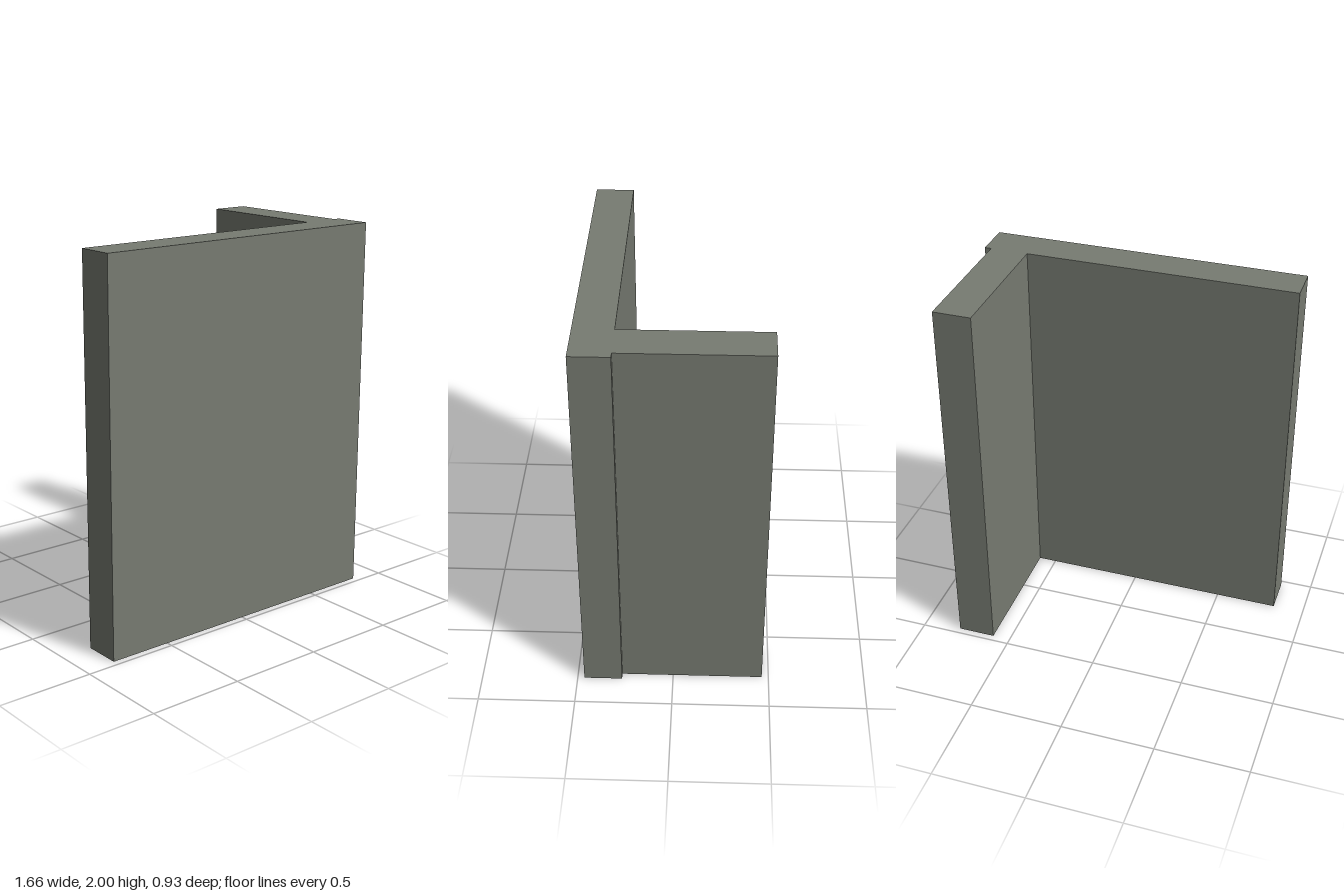
import * as THREE from 'three';

const HEIGHT = 2;

export function createModel() {
  const model = new THREE.Group();
  model.name = 'cornerWall';

  const stone = new THREE.MeshStandardMaterial({ color: 0x777b72 });
  stone.name = 'grey stone';

  // Full-height wall slab spanning a rectangle of the floor plan
  function addWall(name, x0, x1, z0, z1) {
    const wall = new THREE.Mesh(new THREE.BoxGeometry(x1 - x0, HEIGHT, z1 - z0), stone);
    wall.name = name;
    wall.position.set((x0 + x1) / 2, HEIGHT / 2, (z0 + z1) / 2);
    model.add(wall);
  }

  // Wide front wall, and a return wall set slightly in from its left end
  addWall('frontWall', -0.832, 0.832, 0.267, 0.465);
  addWall('returnWall', 0.597, 0.797, -0.465, 0.267);

  return model;
}
